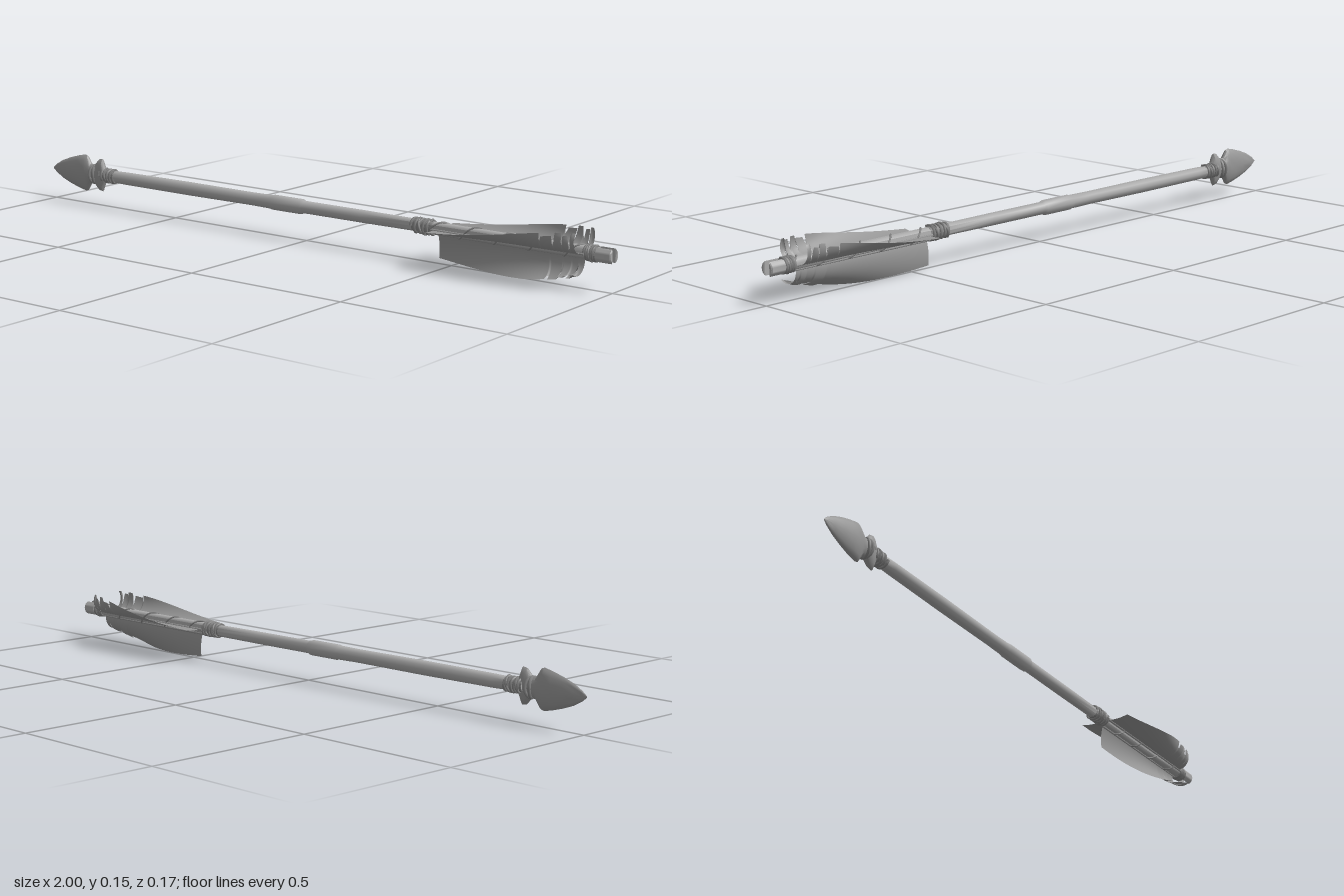
import * as THREE from 'three';
import { toCreasedNormals } from 'three/addons/utils/BufferGeometryUtils.js';

const AXIS_Y = 0.097;
const wood = new THREE.MeshStandardMaterial({ color: 0xaaaaaa });
const stone = new THREE.MeshStandardMaterial({ color: 0x969696 });
const twine = new THREE.MeshStandardMaterial({ color: 0x858585 });
const feather = new THREE.MeshStandardMaterial({ color: 0x969696, side: THREE.DoubleSide });

function part(parent, name, geometry, material) {
  const mesh = new THREE.Mesh(geometry, material);
  mesh.name = name;
  parent.add(mesh);
}

// Surface through a nu x nv grid of points
function surface(nu, nv, point) {
  const pos = [], index = [];
  for (let i = 0; i < nu; i++) for (let j = 0; j < nv; j++) {
    pos.push(...point(i, j));
    if (i < nu - 1 && j < nv - 1) {
      const a = i * nv + j, b = a + nv;
      index.push(a, b, a + 1, b, b + 1, a + 1);
    }
  }
  const g = new THREE.BufferGeometry();
  g.setAttribute('position', new THREE.Float32BufferAttribute(pos, 3));
  g.setIndex(index);
  g.computeVertexNormals();
  return g;
}

// Solid turned around the x axis from [x, radius] pairs
function turned(profile, sides) {
  const g = new THREE.LatheGeometry(profile.map(([x, r]) => new THREE.Vector2(r, x)), sides);
  return toCreasedNormals(g.rotateZ(-Math.PI / 2), 0.9);
}

// Cord wound around the shaft
function cord(x0, x1, radius, turns, thickness, phase = 0) {
  const pts = [], n = Math.ceil(turns * 10);
  for (let i = 0; i <= n; i++) {
    const t = i / n, a = phase + t * turns * 2 * Math.PI;
    pts.push(new THREE.Vector3(x0 + (x1 - x0) * t, radius * Math.sin(a), radius * Math.cos(a)));
  }
  return new THREE.TubeGeometry(new THREE.CatmullRomCurve3(pts), n * 2, thickness, 5);
}

// Stone head: lens-shaped sections as [x, half height, half thickness]
function headGeometry() {
  const stations = [
    [-1, 0.002, 0.001], [-0.985, 0.014, 0.005], [-0.96, 0.028, 0.009], [-0.925, 0.041, 0.013],
    [-0.89, 0.051, 0.017], [-0.862, 0.057, 0.018], [-0.852, 0.054, 0.017], [-0.838, 0.031, 0.017],
    [-0.822, 0.029, 0.017], [-0.805, 0.048, 0.016], [-0.79, 0.051, 0.014], [-0.782, 0.03, 0.012],
    [-0.77, 0.001, 0.001],
  ];
  const g = surface(stations.length, 17, (i, j) => {
    const [x, h, t] = stations[i], a = j / 16 * 2 * Math.PI, c = Math.cos(a);
    const chip = 1 + 0.04 * Math.sin(i * 2.3 + (j % 16) * 1.7);
    return [x, h * Math.sin(a), t * chip * Math.sign(c) * Math.abs(c) ** 1.3 + 0.004];
  });
  return toCreasedNormals(g, 0.5);
}

// Vane that curls more toward the tail, where thin slits part its barbs
const SLITS = [0.8, 0.842, 0.87, 0.893];
function vaneGeometry(heading, mirror, reach) {
  const xs = [];
  for (let i = 0; i <= 15; i++) xs.push(0.45 + i * 0.022);
  SLITS.forEach((s) => xs.push(s - 0.004, s - 0.0015, s + 0.0015, s + 0.004));
  xs.push(0.903, 0.91);
  const rows = 12;
  return surface(xs.length, rows + 1, (i, j) => {
    const x = xs[i], t = (x - 0.45) / 0.46;
    const finger = SLITS.filter((s) => x > s).length;
    let length = reach + 0.009 * Math.sin(Math.PI * t) + 0.02 * t - (finger % 2) * 0.006;
    // Cut each slit part of the way toward the quill
    const cut = SLITS.findIndex((s) => Math.abs(x - s) < 0.002);
    if (cut >= 0) length *= [0.8, 0.62, 0.7, 0.5][cut];
    const curl = 0.5 + 0.7 * t + 1.0 * t * t - (finger % 2) * 0.12;
    let z = 0.013 * Math.cos(heading), y = 0.013 * Math.sin(heading);
    const step = length / rows;
    for (let s = 0; s < j; s++) {
      const a = heading + curl * (s + 0.5) * step / 0.08;
      z += step * Math.cos(a);
      y += step * Math.sin(a);
    }
    return [x + 0.3 * j * step * Math.sin(Math.PI * t), y, mirror * z];
  });
}

// One half of the forked nock, cut flat along the string slot
function prongGeometry(side) {
  const shape = new THREE.Shape();
  for (let i = 0; i <= 8; i++) {
    const a = -1.15 + i / 8 * 2.3;
    const x = 0.022 * Math.cos(a), y = 0.021 * Math.sin(a);
    if (i) shape.lineTo(x, y); else shape.moveTo(x, y);
  }
  const g = new THREE.ExtrudeGeometry(shape, {
    depth: 0.043, bevelSize: 0.003, bevelThickness: 0.003, bevelOffset: -0.003, bevelSegments: 1,
  });
  g.rotateY(Math.PI / 2).translate(0.954, 0, 0);
  if (side < 0) g.rotateX(Math.PI);
  return toCreasedNormals(g, 0.6);
}

export function createModel() {
  const model = new THREE.Group();
  model.name = 'arrow';
  const arrow = new THREE.Group();
  arrow.name = 'arrowBody';
  arrow.position.y = AXIS_Y;
  arrow.rotation.y = 0.005;
  model.add(arrow);

  // Wooden shaft with a stepped joint near the middle
  part(arrow, 'shaft', turned([
    [-0.8, 0], [-0.8, 0.016], [-0.7, 0.019], [-0.45, 0.02], [-0.2, 0.019], [-0.13, 0.02], [-0.12, 0.022],
    [-0.015, 0.022], [-0.005, 0.018], [0.2, 0.018], [0.4, 0.017], [0.7, 0.017], [0.955, 0.018], [0.955, 0],
  ], 10), wood);

  part(arrow, 'arrowhead', headGeometry(), stone);

  // Lashings: [name, x start, x end, core radius]
  const lashings = [
    ['headLashing', -0.8, -0.735, 0.018],
    ['frontVaneLashing', 0.37, 0.445, 0.0185],
    ['nockLashing', 0.915, 0.955, 0.018],
  ];
  lashings.forEach(([name, x0, x1, r]) => {
    const group = new THREE.Group();
    group.name = name;
    arrow.add(group);
    part(group, name + 'Core', turned([[x0, 0.015], [x0 + 0.006, r], [x1 - 0.006, r], [x1, 0.015]], 12), twine);
    part(group, name + 'Cord', cord(x0 + 0.004, x1 - 0.004, r + 0.001, 5, 0.0042), twine);
    part(group, name + 'Cross', cord(x1 - 0.008, x0 + 0.008, r + 0.003, 1.5, 0.0035, 1), twine);
  });

  // Cord crossing the notches of the stone head
  for (const s of [-1, 1]) {
    const loop = new THREE.TorusGeometry(0.027, 0.005, 5, 16);
    loop.scale(0.85, 1, 1).rotateY(Math.PI / 2 + s * 0.35).translate(-0.822, 0, 0.003);
    part(arrow, 'headBinding', loop, twine);
  }

  // Three vanes, each with a quill along its root: [name, heading, mirror, reach]
  const vanes = [
    ['leftVane', -0.14, 1, 0.066],
    ['rightVane', -0.14, -1, 0.064],
    ['lowerVane', -1.9, 1, 0.074],
  ];
  vanes.forEach(([name, heading, mirror, reach]) => {
    part(arrow, name, vaneGeometry(heading, mirror, reach), feather);
    const quill = new THREE.CylinderGeometry(0.003, 0.004, 0.48, 6).rotateZ(-Math.PI / 2);
    quill.translate(0.68, 0.018 * Math.sin(heading), mirror * 0.018 * Math.cos(heading));
    part(arrow, name + 'Quill', quill, feather);
  });

  // Thread spiralling between the vanes
  part(arrow, 'vaneThread', cord(0.44, 0.93, 0.0185, 4.5, 0.0025), twine);

  // Forked nock
  for (const side of [1, -1]) part(arrow, 'nockProng', prongGeometry(side), wood);
  return model;
}
